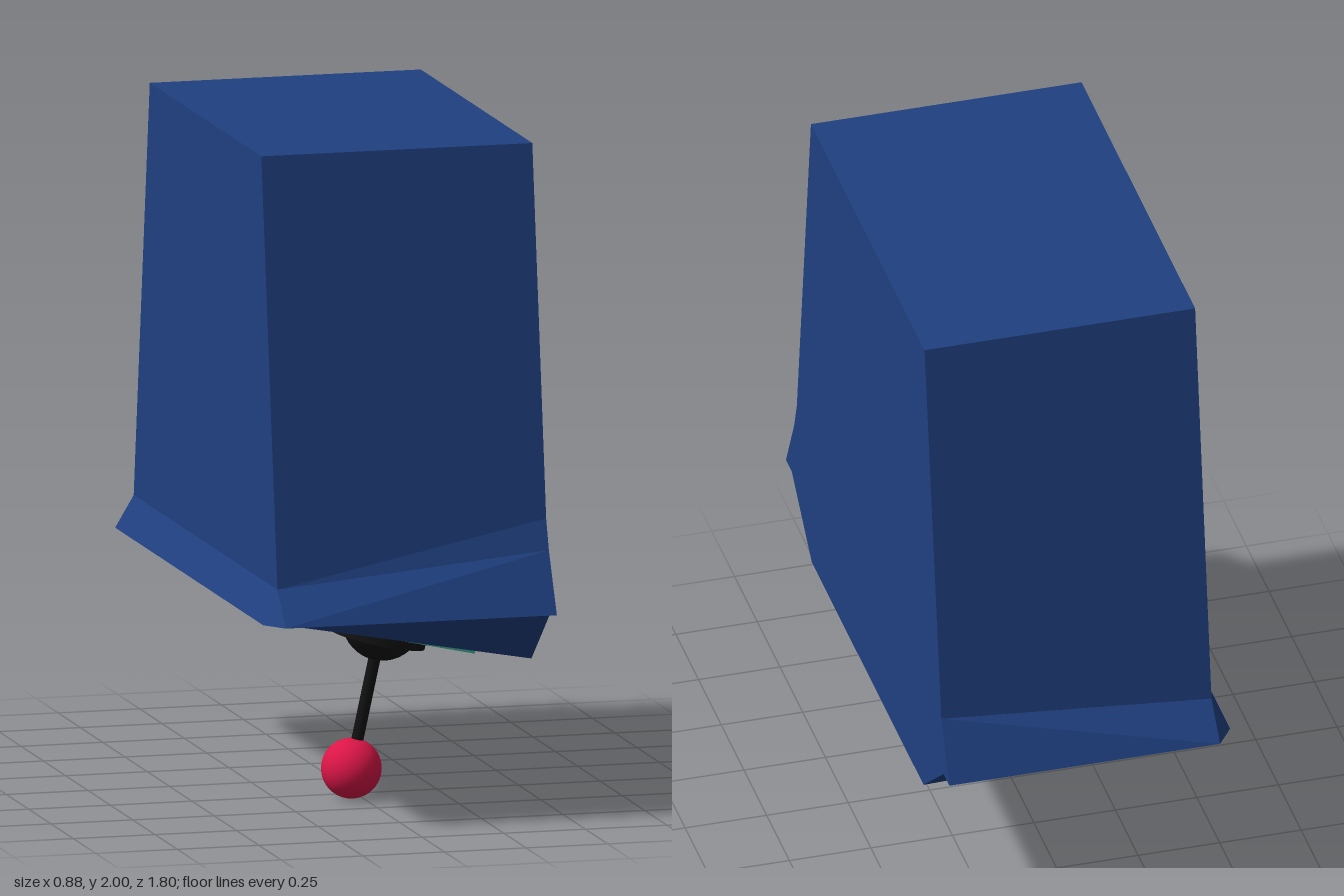
import * as THREE from 'three';

const material = (color, flat = false) => {
  const m = new THREE.MeshStandardMaterial({ color });
  m.flatShading = flat;
  return m;
};
const BLUE = material(0x1f4080, true);
const TEAL = material(0x3fa68c);
const BLACK = material(0x111111);
const RED = material(0xdc1648);

function part(name, geometry, mat, y = 0) {
  const mesh = new THREE.Mesh(geometry, mat);
  mesh.name = name;
  mesh.position.y = y;
  return mesh;
}

// Tapered housing with a flared skirt and a slanted underside
function makeHousing() {
  const right = 0.44, left = -0.39, lip = -0.44;
  // [z, y] from the top edge down to the underside, at each end in x
  const rightProfile = [[0.625, 2], [0.78, 0.9], [0.81, 0.81], [0.9, 0.63], [0.835, 0.63], [0.615, 0.45]];
  const leftProfile = [[0.625, 2], [0.781, 0.9], [0.805, 0.73], [0.9, 0.63], [0.835, 0.63], [0.835, 0.63]];
  const side = (profile, x, s) => profile.map(([z, y], i) =>
    // the back wall runs straight down, without the bend of the front
    [x, y, s * (s < 0 && i === 1 && x === right ? 0.796 : z)]);
  const rf = side(rightProfile, right, 1), rb = side(rightProfile, right, -1);
  const lf = side(leftProfile, left, 1), lb = side(leftProfile, left, -1);
  const lipF = [lip, 0.63, 0.83], lipB = [lip, 0.63, -0.83];

  const positions = [];
  const face = (...p) => {
    for (let i = 1; i < p.length - 1; i++) positions.push(...p[0], ...p[i], ...p[i + 1]);
  };
  for (let i = 0; i < 5; i++) {
    face(rf[i], lf[i], lf[i + 1], rf[i + 1]); // front
    face(rb[i], rb[i + 1], lb[i + 1], lb[i]); // back
    if (i !== 3) face(rf[i], rf[i + 1], rb[i + 1], rb[i]); // flat side
    if (i < 2) face(lf[i], lb[i], lb[i + 1], lf[i + 1]); // skirted side
  }
  face(rf[0], rb[0], lb[0], lf[0]); // top
  face(rf[5], lf[5], lb[5], rb[5]); // slanted underside
  face(lf[2], lb[2], lipB, lipF); // side skirt
  face(lf[2], lipF, lf[3]); // skirt corners
  face(lb[2], lb[3], lipB);
  face(lf[3], lipF, lipB, lb[3]); // skirt underside

  const geometry = new THREE.BufferGeometry();
  geometry.setAttribute('position', new THREE.Float32BufferAttribute(positions, 3));
  geometry.computeVertexNormals();
  return part('housing', geometry, BLUE);
}

// Plate and round collar lying on the slanted underside; local -y points out
function makeControl(name, z) {
  const g = new THREE.Group();
  g.name = name;
  g.position.set(0.063, 0.532, z);
  g.rotation.z = -Math.atan2(0.18, 0.83);
  g.add(part('plate', new THREE.BoxGeometry(0.46, 0.025, 0.46), TEAL, -0.01));
  g.add(part('collar', new THREE.CylinderGeometry(0.14, 0.14, 0.04, 32), BLACK, -0.04));
  return g;
}

export function createModel() {
  const model = new THREE.Group();
  model.name = 'controlBox';
  model.add(makeHousing());

  const joystick = makeControl('joystick', 0.325);
  joystick.add(
    part('pivot', new THREE.SphereGeometry(0.12, 32, 20), BLACK),
    part('stick', new THREE.CylinderGeometry(0.018, 0.018, 0.4, 16), BLACK, -0.23),
    part('knob', new THREE.SphereGeometry(0.09, 32, 24), RED, -0.45),
  );

  const button = makeControl('button', -0.315);
  button.add(part('buttonCap', new THREE.CylinderGeometry(0.11, 0.11, 0.08, 32), RED, -0.055));

  model.add(joystick, button);
  return model;
}
